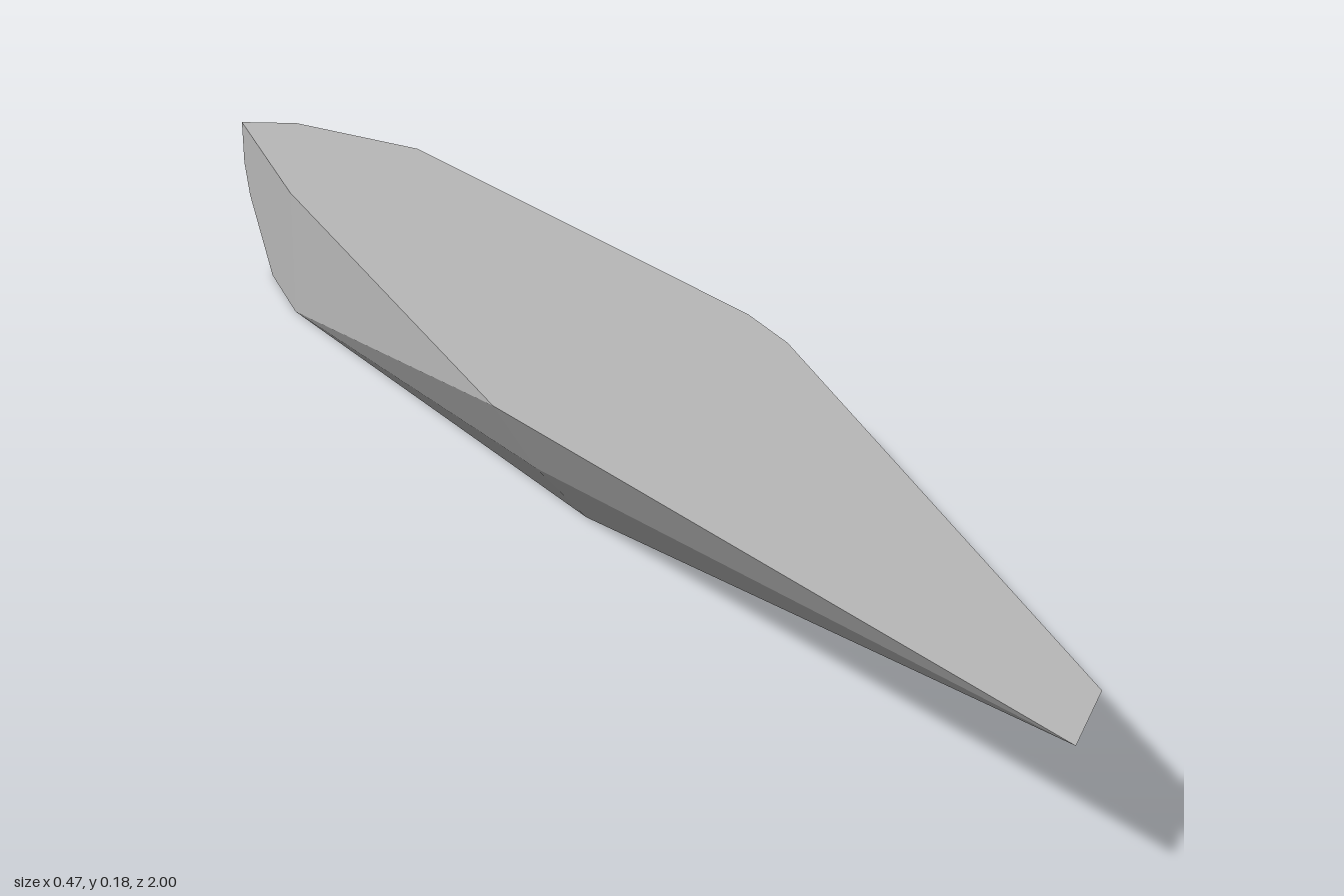
import * as THREE from 'three';
import { ConvexGeometry } from 'three/addons/geometries/ConvexGeometry.js';

const TOP = 0.18;

// Flat upper outline as [x, z]
const upperRim = [
  [-0.235, -1], [-0.16, -0.97], [-0.02, -0.81], [0.218, -0.1], [0.233, 0],
  [0.218, 0.91], [0.145, 1], [-0.17, 0.06], [-0.235, -0.7],
];

// Flat underside outline as [x, z]
const lowerRim = [
  [-0.235, -0.84], [0, -0.845], [0.12, -0.81], [0.13, 0],
  [0.123, 0.075], [-0.046, 0.04], [-0.235, -0.7],
];

// Bevel corners between the two rims: blunt tail and left flank
const bevels = [[-0.235, 0.118, -0.997], [-0.235, 0.077, -0.968], [-0.115, 0.085, 0.053]];

export function createModel() {
  const group = new THREE.Group();
  group.name = 'stoneShard';

  const stone = new THREE.MeshStandardMaterial({ color: 0xb8b8b8 });
  stone.name = 'grey stone';

  // One faceted convex slab wrapped around the rims
  const points = [
    ...upperRim.map(([x, z]) => new THREE.Vector3(x, TOP, z)),
    ...lowerRim.map(([x, z]) => new THREE.Vector3(x, 0, z)),
    ...bevels.map((p) => new THREE.Vector3(...p)),
  ];
  const slab = new THREE.Mesh(new ConvexGeometry(points), stone);
  slab.name = 'slab';
  group.add(slab);
  return group;
}
